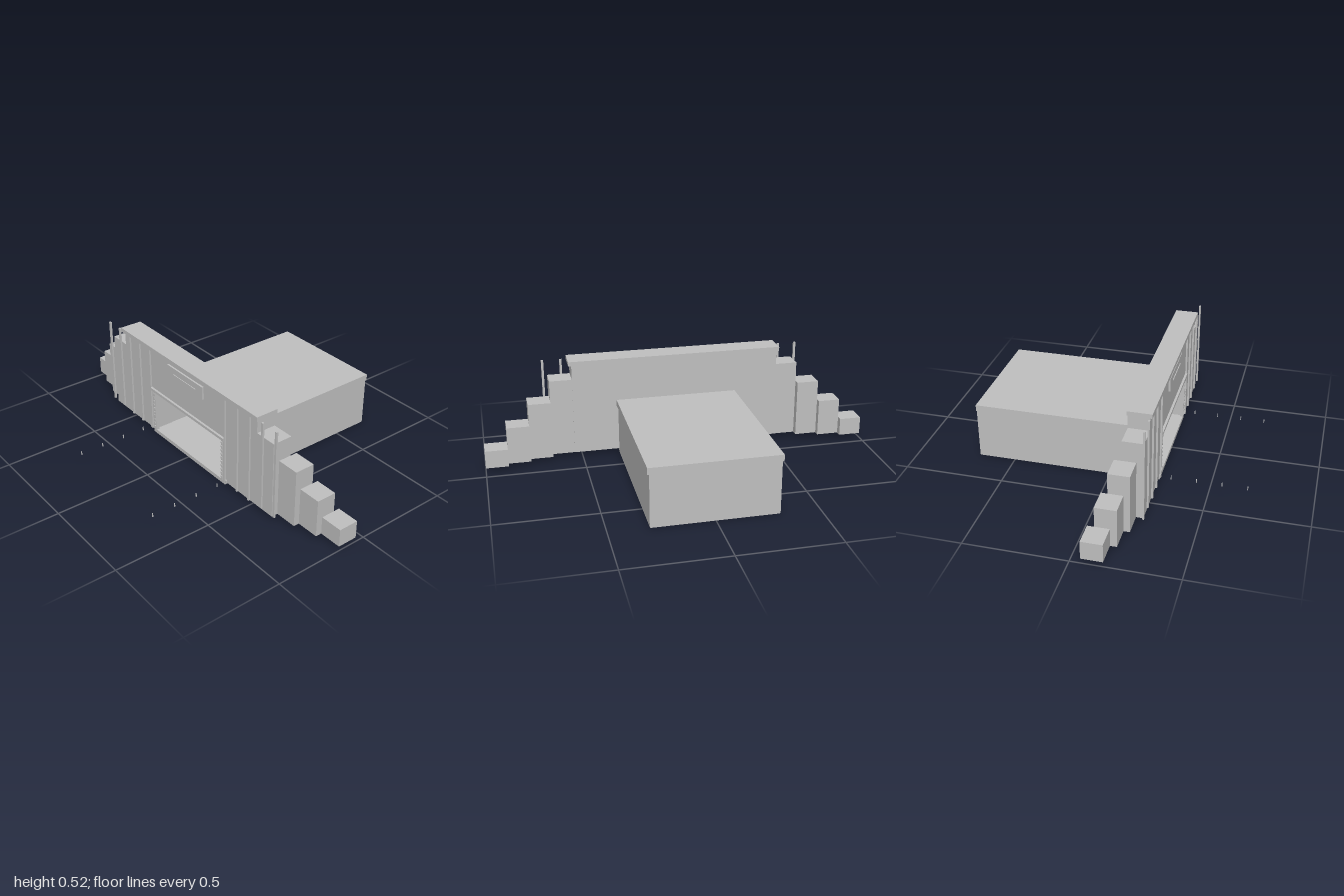
import * as THREE from 'three';

export function createModel() {
  const model = new THREE.Group();
  model.name = 'hangarGate';
  const concrete = new THREE.MeshStandardMaterial({ color: 0xc0c0c0, side: THREE.DoubleSide });
  concrete.name = 'concreteGrey';

  // Box given by its extents; open ones have no underside
  function box(name, x0, x1, y0, y1, z0, z1, open = false) {
    const g = new THREE.BoxGeometry(x1 - x0, y1 - y0, z1 - z0);
    if (open) {
      const index = Array.from(g.index.array);
      index.splice(18, 6);
      g.setIndex(index);
      g.clearGroups();
    }
    const mesh = new THREE.Mesh(g, concrete);
    mesh.name = name;
    mesh.position.set((x0 + x1) / 2, (y0 + y1) / 2, (z0 + z1) / 2);
    model.add(mesh);
  }

  // The same box on both sides of the centre line
  function pair(name, x0, x1, ...rest) {
    box(name + 'Left', x0, x1, ...rest);
    box(name + 'Right', -x1, -x0, ...rest);
  }

  // Hall behind the gate
  box('hallFloor', -0.305, 0.305, 0, 0.02, -0.685, 0.145);
  pair('hallWall', 0.297, 0.307, 0.004, 0.265, -0.685, 0.145);
  box('hallBackWall', -0.305, 0.305, 0.004, 0.265, -0.685, -0.677);
  box('hallRoof', -0.315, 0.315, 0.265, 0.297, -0.685, 0.145);

  // Facade around the opening
  pair('facadeWall', 0.29, 0.54, 0.024, 0.5, 0.145, 0.25, true);
  box('facadeLintel', -0.29, 0.29, 0.26, 0.5, 0.145, 0.25);
  box('threshold', -0.305, 0.305, 0.004, 0.024, 0.145, 0.25);
  box('cornice', -0.555, 0.555, 0.498, 0.52, 0.145, 0.264);
  box('lintelLedge', -0.305, 0.305, 0.261, 0.275, 0.25, 0.262);
  for (const x of [0.31, 0.402, 0.491]) {
    pair('facadeFin', x - 0.005, x + 0.005, 0.024, 0.498, 0.25, 0.259);
  }

  // Blank plaque over the opening
  box('plaque', -0.145, 0.142, 0.412, 0.48, 0.25, 0.26);
  box('plaqueBar', -0.09, 0.09, 0.444, 0.448, 0.26, 0.264);

  // Door jambs with columns of small lamps
  pair('doorJamb', 0.278, 0.291, 0.024, 0.26, 0.235, 0.253);
  for (let i = 0; i < 10; i++) {
    const y = 0.04 + i * 0.022;
    pair('jambLamp', 0.281, 0.289, y, y + 0.01, 0.253, 0.258);
  }
  pair('jambFoot', 0.31, 0.322, 0.024, 0.04, 0.25, 0.258);

  // Stepped wings falling away on both sides
  const steps = [[0.425, 0.25], [0.322, 0.215], [0.218, 0.185], [0.116, 0.153]];
  steps.forEach(([top, front], i) => {
    const x = 0.54 + i * 0.115;
    pair('wingStep', x, x + 0.115, 0.024, top, front - 0.103, front, true);
  });

  // Tall poles in front of the wings
  for (const x of [0.583, 0.676]) {
    pair('pole', x - 0.006, x + 0.006, 0.036, 0.503, 0.25, 0.259);
  }

  // Approach marker posts
  for (const z of [0.31, 0.434, 0.559, 0.683]) {
    pair('markerPost', 0.317, 0.321, 0.025, 0.045, z - 0.002, z + 0.002);
  }
  return model;
}
